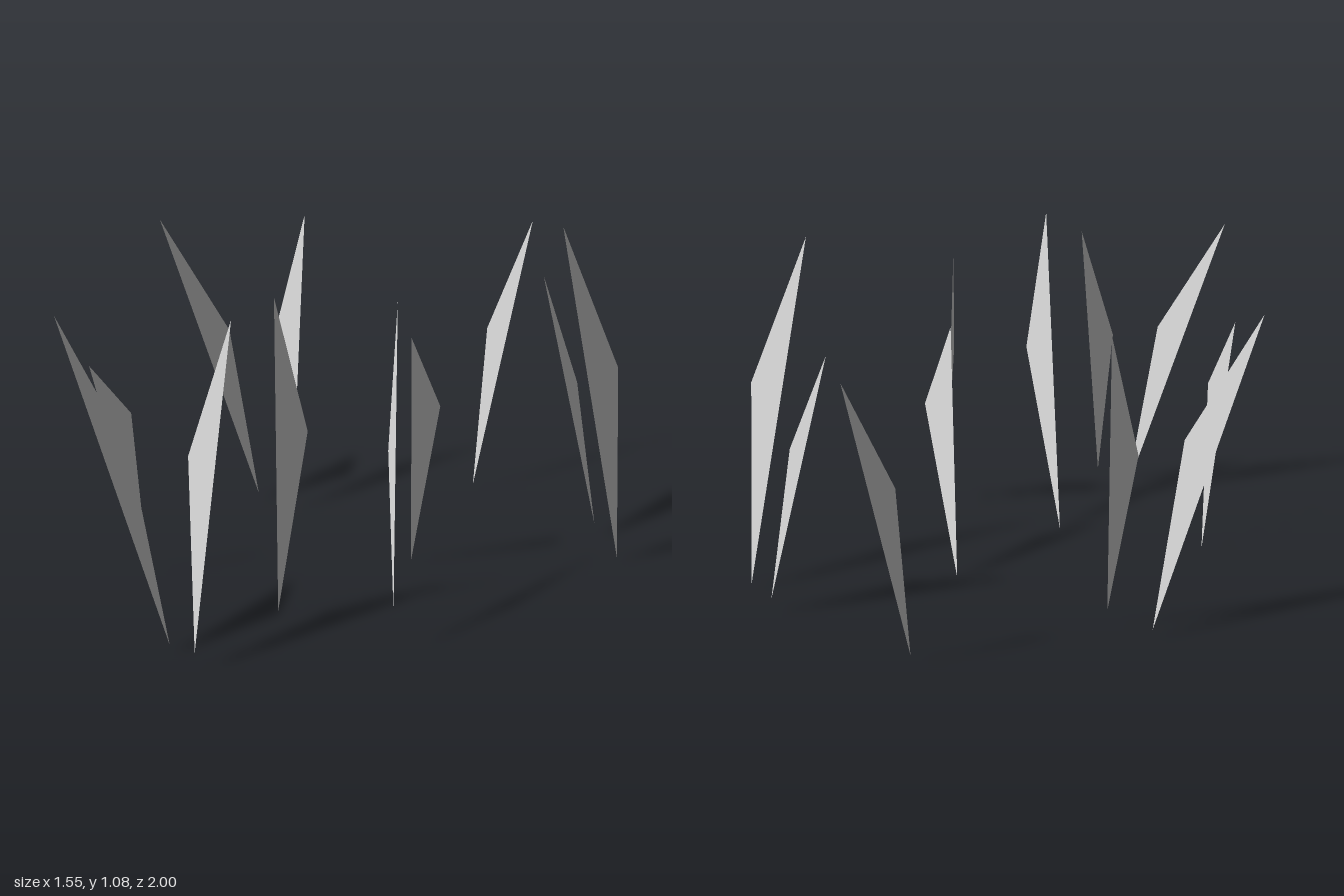
import * as THREE from 'three';

// Each blade of grass is one bent sliver: tip, side corner, root
const blades = [
  [[0.282, 0.89, -1.0], [0.177, 0.55, -0.832], [0.161, 0.025, -0.742]],
  [[-0.382, 0.945, -0.591], [-0.446, 0.57, -0.477], [-0.347, 0.055, -0.368]],
  [[-0.778, 0.957, -0.316], [-0.565, 0.592, -0.374], [-0.488, 0.025, -0.422]],
  [[0.452, 0.827, -0.504], [0.592, 0.514, -0.413], [0.657, 0.045, -0.43]],
  [[0.616, 1.08, -0.09], [0.776, 0.642, -0.171], [0.776, 0.012, -0.238]],
  [[0.222, 0.764, 0.134], [0.288, 0.537, 0.053], [0.172, 0.003, -0.033]],
  [[0.025, 1.012, 0.74], [0.064, 0.592, 0.589], [-0.066, 0.0, 0.497]],
  [[-0.622, 0.712, 0.56], [-0.551, 0.54, 0.433], [-0.551, 0.015, 0.343]],
  [[0.268, 0.94, 0.405], [0.312, 0.57, 0.617], [0.357, 0.125, 0.7]],
  [[-0.089, 0.947, 0.77], [-0.185, 0.575, 0.861], [-0.119, 0.055, 0.996]],
  [[-0.548, 0.957, 0.921], [-0.328, 0.592, 0.93], [-0.236, 0.025, 0.899]],
];

function bladeGeometry(corners) {
  const [a, b, c] = corners.map((p) => new THREE.Vector3(...p));
  const n = b.clone().sub(a).cross(c.clone().sub(a));
  // Wind every blade so that its face looks upwards
  const points = n.y > 0 ? [a, b, c] : [a, c, b];
  const geometry = new THREE.BufferGeometry().setFromPoints(points);
  // Upright normals shade the whole patch evenly
  geometry.setAttribute('normal', new THREE.Float32BufferAttribute([0, 1, 0, 0, 1, 0, 0, 1, 0], 3));
  return geometry;
}

export function createModel() {
  const model = new THREE.Group();
  model.name = 'grassPatch';
  const grey = new THREE.MeshStandardMaterial({ color: 0xcccccc, side: THREE.DoubleSide });
  grey.name = 'light grey';
  blades.forEach((corners, i) => {
    const blade = new THREE.Mesh(bladeGeometry(corners), grey);
    blade.name = `grassBlade${i + 1}`;
    model.add(blade);
  });
  return model;
}
